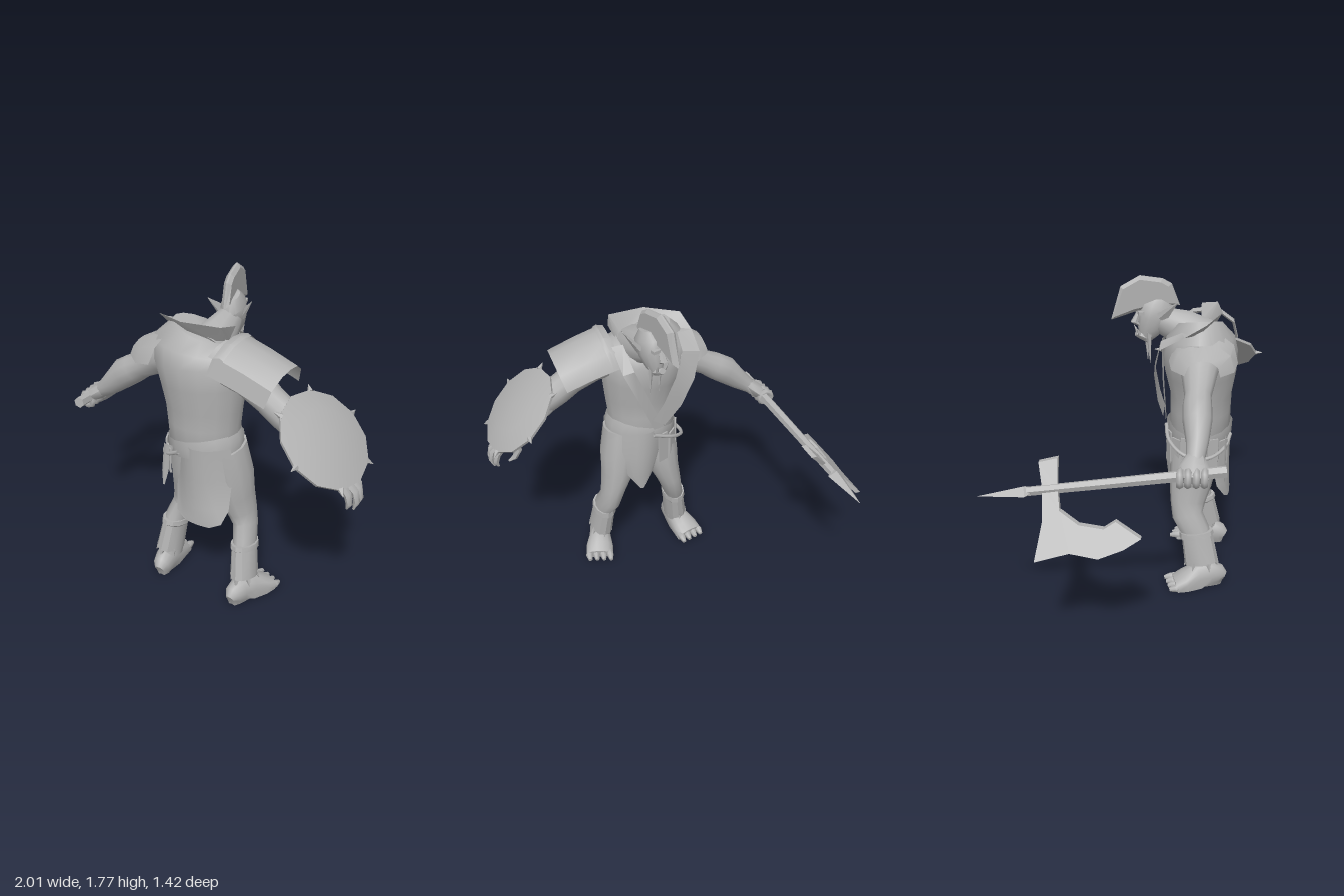
import * as THREE from 'three';
import { toCreasedNormals } from 'three/addons/utils/BufferGeometryUtils.js';

const V = (x, y, z) => new THREE.Vector3(x, y, z);

export function createModel() {
  const model = new THREE.Group();
  const grey = new THREE.MeshStandardMaterial({ color: 0xb2b2b2, side: THREE.DoubleSide });
  grey.name = 'plain grey';

  const add = (name, geometry, parent = model) => {
    const mesh = new THREE.Mesh(geometry, grey);
    mesh.name = name;
    parent.add(mesh);
    return mesh;
  };

  // Surface through rows of points, optionally closed around
  const sheet = (rows, closed = false, crease = 0.7) => {
    const n = rows[0].length, pos = [], index = [];
    rows.forEach(r => r.forEach(p => pos.push(p.x, p.y, p.z)));
    for (let i = 0; i < rows.length - 1; i++) {
      for (let j = 0; j < (closed ? n : n - 1); j++) {
        const a = i * n + j, b = i * n + (j + 1) % n;
        index.push(a, b, b + n, a, b + n, a + n);
      }
    }
    const g = new THREE.BufferGeometry();
    g.setAttribute('position', new THREE.Float32BufferAttribute(pos, 3));
    g.setIndex(index);
    return toCreasedNormals(g, crease);
  };

  // Limb from stations [x, y, z, radius along ref, radius across]; caps close the ends
  const limb = (st, ref, sides = 12, caps = true, crease = 0.9) => {
    const c = st.map(s => V(s[0], s[1], s[2]));
    const rows = st.map((s, i) => {
      const t = c[Math.min(i + 1, c.length - 1)].clone().sub(c[Math.max(i - 1, 0)]).normalize();
      const u = ref.clone().addScaledVector(t, -ref.dot(t)).normalize();
      const v = t.clone().cross(u);
      return Array.from({ length: sides }, (_, j) => {
        const a = j / sides * Math.PI * 2;
        return c[i].clone().addScaledVector(u, s[3] * Math.cos(a)).addScaledVector(v, s[4] * Math.sin(a));
      });
    });
    if (caps) {
      rows.unshift(rows[0].map(() => c[0].clone()));
      rows.push(rows[0].map(() => c[c.length - 1].clone()));
    }
    return sheet(rows, true, crease);
  };
  const X = V(1, 0, 0), Z = V(0, 0, 1);
  const spike = (a, b, r, ref = V(0.3, 0.2, 0.93), flat = 1) =>
    limb([[...a, r, r * flat], [...b, 0.001, 0.001]], ref, 5, true, 0.3);

  // Thin plate outlined in (z, y), placed in x by a rule
  const plate = (pts, depth, bevel, xAt) => {
    const shape = new THREE.Shape(pts.map(p => new THREE.Vector2(p[0], p[1])));
    const g = new THREE.ExtrudeGeometry(shape, {
      depth, bevelEnabled: bevel > 0, bevelSize: bevel, bevelThickness: bevel, bevelOffset: -bevel, bevelSegments: 1
    });
    const p = g.attributes.position;
    for (let i = 0; i < p.count; i++) {
      const z = p.getX(i), y = p.getY(i);
      p.setXYZ(i, xAt(z, y) - (p.getZ(i) - depth / 2), y, z);
    }
    g.computeVertexNormals();
    return g;
  };

  // Torso and neck
  add('torso', limb([
    [0.09, 0.8, 0.33, 0.17, 0.13], [0.085, 0.93, 0.345, 0.2, 0.17], [0.08, 1.03, 0.345, 0.205, 0.17], [0.08, 1.12, 0.345, 0.215, 0.172],
    [0.075, 1.25, 0.34, 0.235, 0.198], [0.06, 1.37, 0.335, 0.26, 0.205], [0.05, 1.45, 0.335, 0.25, 0.185],
    [0.07, 1.52, 0.33, 0.17, 0.12]], X, 16));
  add('neck', limb([[0.1, 1.42, 0.34, 0.13, 0.12], [0.11, 1.48, 0.23, 0.09, 0.1], [0.1, 1.52, 0.11, 0.06, 0.075]], X));

  // Head, turned slightly to its right
  const head = new THREE.Group();
  head.name = 'head';
  head.position.set(0.1, 1.54, 0.09);
  head.rotation.y = 0.32;
  model.add(head);
  add('skull', limb([
    [0, -0.13, -0.065, 0.025, 0.03], [0, -0.08, -0.045, 0.048, 0.065], [0, -0.02, -0.015, 0.064, 0.095],
    [0, 0.05, 0.01, 0.064, 0.105], [0, 0.1, 0.02, 0.035, 0.06]], X), head);
  add('nose', limb([[0, 0.03, -0.1, 0.012, 0.012], [0, -0.025, -0.125, 0.022, 0.02], [0, -0.04, -0.1, 0.015, 0.01]], X, 6), head);
  add('brow', new THREE.BoxGeometry(0.1, 0.018, 0.03), head).position.set(0, 0.03, -0.095);
  add('jaw', limb([[0, -0.125, -0.04, 0.03, 0.025], [0, -0.1, -0.09, 0.035, 0.022], [0, -0.09, -0.115, 0.02, 0.015]], X, 8), head);
  for (const s of [-1, 1]) {
    add('ear', spike([0.055 * s, 0, 0.01], [0.115 * s, 0.1, 0.09], 0.04, V(0, 0.6, -0.8), 0.35), head);
    add('tusk', spike([0.025 * s, -0.09, -0.1], [0.035 * s, -0.05, -0.12], 0.01), head);
    add('beardBraid', spike([0.03 * s, -0.07, -0.05], [0.03 * s, -0.26, -0.04], 0.018), head);
  }
  add('crest', plate([[0.215, 1.6], [0.17, 1.72], [0.12, 1.75], [0, 1.77], [-0.1, 1.715], [-0.15, 1.535], [-0.02, 1.575], [0.12, 1.6]],
    0.01, 0.018, z => 0.063 + 0.27 * z));

  // Right arm, gripping the axe
  add('rightArm', limb([
    [-0.04, 1.39, 0.34, 0.13, 0.1], [-0.19, 1.31, 0.34, 0.095, 0.085], [-0.31, 1.235, 0.34, 0.07, 0.07],
    [-0.37, 1.2, 0.34, 0.076, 0.08], [-0.44, 1.155, 0.345, 0.076, 0.083], [-0.53, 1.07, 0.35, 0.057, 0.062],
    [-0.61, 1.005, 0.345, 0.045, 0.042]], Z));
  add('rightPalm', limb([[-0.58, 1.03, 0.345, 0.045, 0.04], [-0.64, 0.985, 0.34, 0.078, 0.045], [-0.7, 0.945, 0.34, 0.072, 0.035]], Z, 8));
  for (let i = 0; i < 4; i++) {
    const finger = add('rightFinger', new THREE.TorusGeometry(0.036, 0.02, 6, 8));
    finger.position.set(-0.69 + i * 0.005, 0.95, 0.275 + i * 0.04);
  }

  // Left arm with a curled open hand
  add('leftArm', limb([
    [0.18, 1.4, 0.35, 0.14, 0.11], [0.36, 1.34, 0.36, 0.11, 0.092], [0.48, 1.26, 0.37, 0.084, 0.08],
    [0.56, 1.205, 0.37, 0.08, 0.083], [0.64, 1.155, 0.37, 0.077, 0.08], [0.72, 1.09, 0.37, 0.06, 0.06], [0.8, 1.02, 0.37, 0.045, 0.042]], Z));
  add('leftPalm', limb([[0.78, 1.04, 0.37, 0.045, 0.04], [0.85, 0.985, 0.365, 0.07, 0.038], [0.92, 0.94, 0.36, 0.072, 0.027]], Z, 8));
  for (let i = 0; i < 4; i++) {
    const z = 0.3 + i * 0.04, d = i === 0 || i === 3 ? 0.02 : 0;
    add('leftFinger', limb([[0.9, 0.955, z, 0.022, 0.022], [0.965 - d, 0.9, z, 0.02, 0.02],
      [0.978 - d, 0.85, z, 0.017, 0.017], [0.965 - d, 0.8 + d, z, 0.006, 0.006]], Z, 6));
  }
  add('leftThumb', limb([[0.85, 0.98, 0.31, 0.026, 0.026], [0.825, 0.91, 0.295, 0.022, 0.022], [0.85, 0.86, 0.3, 0.016, 0.016], [0.885, 0.835, 0.31, 0.006, 0.006]], Z, 6));
  for (const [x, y, r] of [[0.66, 1.14, 0.082], [0.76, 1.06, 0.068]]) {
    add('forearmStrap', limb([[x - 0.016, y + 0.014, 0.37, r, r], [x + 0.016, y - 0.014, 0.37, r, r]], Z, 10, true, 0.6));
  }

  // Legs, mirrored about the hips
  for (const s of [1, -1]) {
    const leg = new THREE.Group();
    leg.name = s > 0 ? 'leftLeg' : 'rightLeg';
    leg.position.x = 0.11;
    leg.scale.x = s;
    model.add(leg);
    add('limb', limb([
      [0.24, 0.1, 0.39, 0.055, 0.075], [0.225, 0.34, 0.34, 0.06, 0.085], [0.2, 0.42, 0.295, 0.062, 0.09], [0.18, 0.5, 0.293, 0.072, 0.1],
      [0.15, 0.6, 0.305, 0.092, 0.12], [0.127, 0.73, 0.32, 0.112, 0.135], [0.1, 0.9, 0.34, 0.105, 0.135]], X), leg);
    add('shinGuard', limb([
      [0.25, 0.14, 0.385, 0.07, 0.098], [0.23, 0.3, 0.355, 0.064, 0.09], [0.23, 0.305, 0.352, 0.071, 0.1],
      [0.228, 0.335, 0.348, 0.068, 0.097]], X, 12, true, 0.5), leg);
    for (let k = 0; k < 6; k++) {
      const a = (k + 0.5) / 6 * Math.PI * 2, cx = Math.cos(a), cz = Math.sin(a);
      add('guardFringe', spike([0.25 + 0.056 * cx, 0.155, 0.385 + 0.083 * cz], [0.255 + 0.072 * cx, 0.11, 0.385 + 0.1 * cz], 0.016), leg);
    }
    const foot = limb([
      [0.24, 0.045, 0.515, 0.028, 0.035], [0.242, 0.06, 0.49, 0.05, 0.06], [0.25, 0.07, 0.44, 0.06, 0.08], [0.265, 0.06, 0.37, 0.067, 0.085],
      [0.29, 0.04, 0.29, 0.085, 0.055], [0.305, 0.025, 0.235, 0.085, 0.032]], X, 14);
    // Flatten the sole
    const p = foot.attributes.position;
    for (let i = 0; i < p.count; i++) if (p.getY(i) < 0.03) p.setY(i, 0);
    add('foot', toCreasedNormals(foot, 0.9), leg);
    for (let k = 0; k < 4; k++) {
      const x = 0.245 + k * 0.042, z = 0.185 + k * 0.013;
      add('toe', limb([[x - 0.008, 0.028, 0.26, 0.021, 0.024], [x, 0.024, z + 0.02, 0.022, 0.022], [x + 0.002, 0.016, z - 0.015, 0.012, 0.012]], X, 7), leg);
    }
  }

  // Belt, rope and hanging tabs
  add('belt', limb([[0.1, 0.87, 0.345, 0.205, 0.176], [0.09, 0.92, 0.345, 0.213, 0.182], [0.08, 0.965, 0.345, 0.206, 0.176]], X, 16, false));
  const rope = new THREE.CatmullRomCurve3([V(0.03, 0.89, 0.52), V(-0.06, 0.84, 0.49), V(-0.14, 0.805, 0.4), V(-0.145, 0.82, 0.27), V(-0.06, 0.87, 0.18), V(0.06, 0.92, 0.155)]);
  add('rope', new THREE.TubeGeometry(rope, 24, 0.011, 6));
  for (let k = 0; k < 6; k++) {
    const a = 2.3 + k * 0.4;
    const tab = add('beltTab', new THREE.BoxGeometry(0.065, 0.15 + 0.04 * (k % 2), 0.009));
    tab.position.set(0.085 + 0.21 * Math.cos(a), 0.81, 0.345 + 0.185 * Math.sin(a));
    tab.rotation.set(0, Math.PI / 2 - a, 0);
  }

  // Loincloth panels from rows [y, x left, x right, z, curve around the hips]
  const panel = rows => sheet(rows.map(([y, l, r, z, curve]) => Array.from({ length: 7 }, (_, j) => {
    const s = j / 3 - 1;
    return V(l + (r - l) * j / 6, y, z + curve * s * s);
  })));
  add('backLoincloth', panel([[0.94, -0.03, 0.29, 0.53, -0.11], [0.75, -0.04, 0.3, 0.52, -0.1], [0.58, -0.03, 0.3, 0.525, -0.07],
    [0.51, 0, 0.28, 0.53, -0.03], [0.48, 0.06, 0.22, 0.53, -0.01]]));
  add('frontLoincloth', panel([[0.94, 0, 0.24, 0.155, 0.05], [0.78, 0.02, 0.25, 0.15, 0.05], [0.64, 0.06, 0.22, 0.155, 0.04], [0.54, 0.13, 0.15, 0.17, 0]]));
  add('hipStrip', panel([[0.9, -0.08, -0.02, 0.5, -0.01], [0.72, -0.1, -0.06, 0.5, -0.01], [0.64, -0.09, -0.08, 0.5, 0]]));

  // Shoulder plates, arched front to back; rows are [x, y, width scale]
  const arch = [[0.18, -0.14], [0.155, -0.05], [0.08, 0], [0, 0.012], [-0.08, 0], [-0.15, -0.05], [-0.185, -0.14]];
  const shoulder = rows => sheet(rows.map(([x, y, w]) =>
    arch.map(([z, dy]) => V(x + dy * 0.3 * w, y + dy * w, 0.36 + z * w))));
  add('leftShoulderPlate', shoulder([[0.28, 1.53, 1], [0.43, 1.485, 0.98], [0.58, 1.43, 0.96]]));
  add('leftShoulderRim', shoulder([[0.26, 1.525, 1], [0.3, 1.535, 1], [0.32, 1.525, 1]]));
  add('rightShoulderFlap', shoulder([[-0.08, 1.5, 1], [-0.18, 1.465, 0.9], [-0.285, 1.41, 0.5]]));

  // Flared collar that runs down the chest as a sash: inner and outer edges
  add('collarSash', sheet([
    [V(0.22, 1.49, 0.33), V(0.26, 1.58, 0.33)], [V(0.18, 1.5, 0.38), V(0.23, 1.595, 0.42)],
    [V(0.04, 1.5, 0.4), V(0.02, 1.59, 0.45)], [V(-0.1, 1.5, 0.34), V(-0.17, 1.57, 0.37)],
    [V(-0.11, 1.51, 0.24), V(-0.2, 1.51, 0.26)], [V(-0.1, 1.46, 0.13), V(-0.2, 1.44, 0.13)],
    [V(-0.05, 1.32, 0.095), V(-0.16, 1.29, 0.1)], [V(0.01, 1.15, 0.12), V(-0.09, 1.12, 0.115)],
    [V(0.07, 1.03, 0.145), V(0, 0.99, 0.14)]]));
  add('chestStrap', sheet([
    [V(0.21, 1.51, 0.22), V(0.27, 1.5, 0.23)], [V(0.18, 1.39, 0.115), V(0.24, 1.37, 0.13)],
    [V(0.1, 1.2, 0.125), V(0.155, 1.18, 0.13)], [V(0, 0.97, 0.155), V(0.06, 0.96, 0.155)]]));

  // Shield with rim spikes
  const shield = new THREE.Group();
  shield.name = 'shield';
  shield.position.set(0.785, 1.13, 0.365);
  shield.rotation.z = -0.73;
  shield.scale.z = 1.18;
  model.add(shield);
  const disc = new THREE.LatheGeometry([[0.001, -0.005], [0.256, -0.012], [0.26, 0.003], [0.15, 0.034], [0.001, 0.045]].map(p => new THREE.Vector2(...p)), 12);
  add('shieldFace', toCreasedNormals(disc, 0.5), shield);
  for (let k = 0; k < 6; k++) {
    const a = Math.PI / 2 + k * Math.PI / 3, c = Math.cos(a), s = Math.sin(a);
    add('shieldSpike', spike([0.25 * c, 0, 0.25 * s], [0.292 * c, 0, 0.292 * s], 0.016, V(0, 1, 0)), shield);
  }

  // Axe
  const shaft = z => [-0.712 + 0.124 * z, 0.928 + 0.102 * z, z];
  add('axeShaft', limb([[...shaft(0.5), 0.031, 0.031], [...shaft(-0.48), 0.024, 0.024]], V(1, 1, 0), 6, true, 0.3));
  add('axeTip', limb([[...shaft(-0.45), 0.02, 0.02], [...shaft(-0.48), 0.045, 0.032], [...shaft(-0.71), 0.001, 0.001]], V(1, 0.2, 0), 4, true, 0.2));
  add('axeBlade', plate([
    [-0.333, 1.014], [-0.427, 0.995], [-0.394, 0.897], [-0.376, 0.775], [-0.394, 0.63], [-0.23, 0.667], [-0.09, 0.653],
    [0.028, 0.69], [0.108, 0.732], [-0.02, 0.789], [-0.075, 0.76], [-0.197, 0.77], [-0.296, 0.817], [-0.319, 0.906]],
    0.03, 0, (z, y) => -0.645 - (1.01 - y) * 0.93));

  return model;
}
